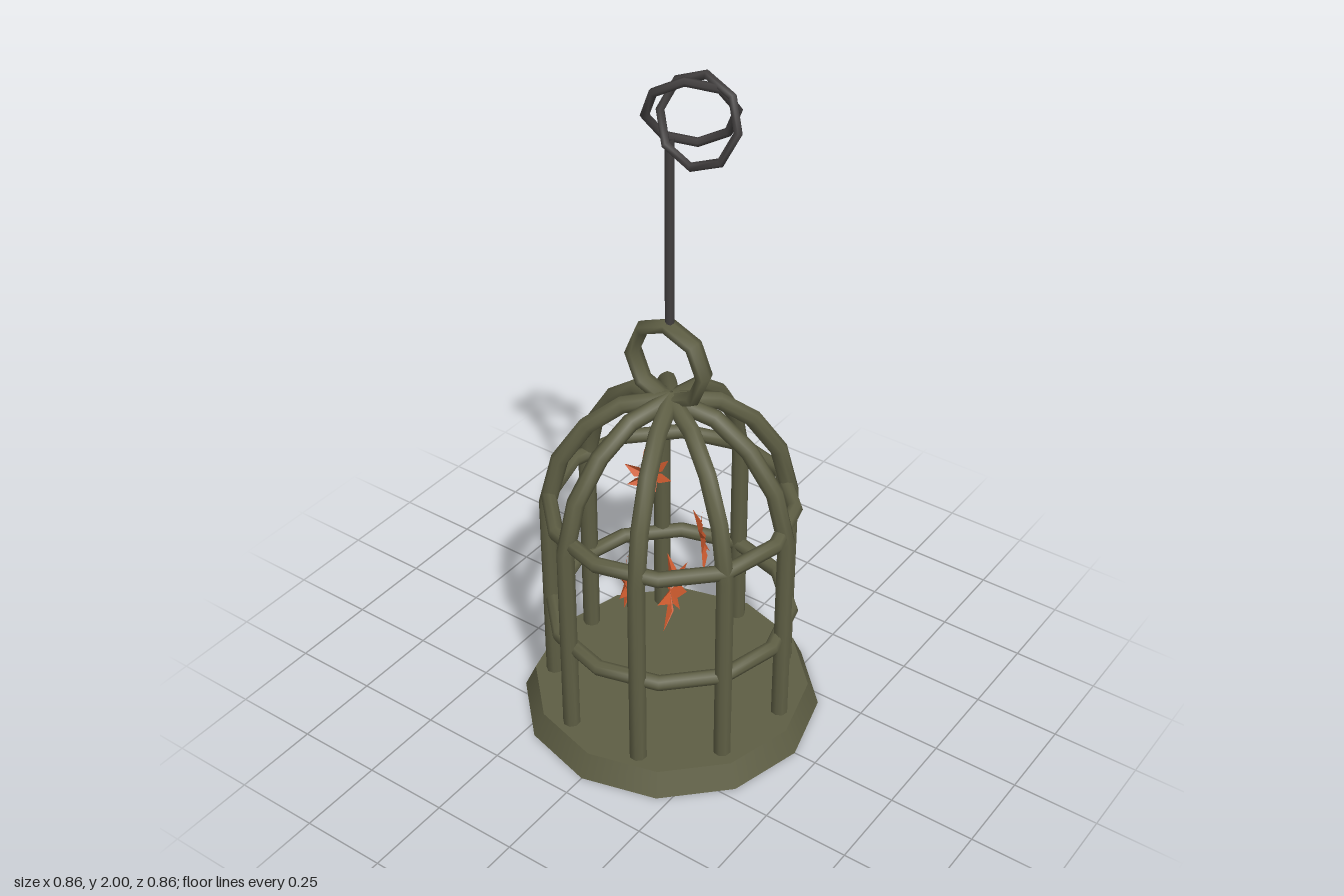
import * as THREE from 'three';

const olive = new THREE.MeshStandardMaterial({ color: 0x5e5e44 });
olive.name = 'olive metal';
const iron = new THREE.MeshStandardMaterial({ color: 0x423f3f });
iron.name = 'dark iron';
const orange = new THREE.MeshStandardMaterial({ color: 0xcc5a2e, side: THREE.DoubleSide });
orange.name = 'autumn orange';

function add(parent, name, geometry, material, x = 0, y = 0, z = 0) {
  const mesh = new THREE.Mesh(geometry, material);
  mesh.name = name;
  mesh.position.set(x, y, z);
  parent.add(mesh);
  return mesh;
}

// Straight-segmented path through a few points, so bars keep their low-poly bends
function polyline(points) {
  const path = new THREE.CurvePath();
  for (let i = 1; i < points.length; i++) path.add(new THREE.LineCurve3(points[i - 1], points[i]));
  return path;
}

// Tube of hexagonal cross-section with one ring of vertices per profile point
function barGeometry(profile, radius, sides) {
  const pos = [], index = [];
  profile.forEach(([r, y], i) => {
    const a = profile[Math.max(i - 1, 0)], b = profile[Math.min(i + 1, profile.length - 1)];
    const t = new THREE.Vector2(b[0] - a[0], b[1] - a[1]).normalize();
    for (let j = 0; j < sides; j++) {
      const u = (j / sides) * Math.PI * 2;
      const out = Math.cos(u) * radius, side = Math.sin(u) * radius;
      pos.push(side, y - t.x * out, r + t.y * out);
      if (i > 0) {
        const k = (j + 1) % sides, p = (i - 1) * sides, q = i * sides;
        index.push(p + j, p + k, q + j, p + k, q + k, q + j);
      }
    }
  });
  const g = new THREE.BufferGeometry();
  g.setAttribute('position', new THREE.Float32BufferAttribute(pos, 3));
  g.setIndex(index);
  g.computeVertexNormals();
  return g;
}

// Leaf: pointed lobes around a centre, each folded along its midrib, plus a stem
function leafGeometry(size) {
  const lobes = [[90, 1], [38, 0.95], [142, 0.95], [-18, 0.8], [198, 0.8], [-75, 0.6], [262, 1.15]];
  const pos = [];
  lobes.forEach(([deg, len], i) => {
    const a = THREE.MathUtils.degToRad(deg), L = len * size;
    const w = (i === 6 ? 0.08 : 0.2) * size;
    const at = (along, across, h) => [
      Math.cos(a) * along - Math.sin(a) * across,
      Math.sin(a) * along + Math.cos(a) * across, h];
    const tip = at(L, 0, (i % 2 ? 0.25 : -0.1) * size);
    const left = at(L * 0.5, w, 0.12 * size), right = at(L * 0.5, -w, 0.12 * size);
    pos.push(0, 0, 0, ...right, ...tip, 0, 0, 0, ...tip, ...left);
  });
  const g = new THREE.BufferGeometry();
  g.setAttribute('position', new THREE.Float32BufferAttribute(pos, 3));
  g.computeVertexNormals();
  return g;
}

export function createModel() {
  const model = new THREE.Group();
  model.name = 'hangingCage';

  // Twelve-sided base plate
  add(model, 'base', new THREE.CylinderGeometry(0.4, 0.432, 0.07, 12), olive, 0, 0.035, 0);

  // Nine ribs curving in to the crown
  const ribs = new THREE.Group();
  ribs.name = 'ribs';
  model.add(ribs);
  const profile = [[0.343, 0.05], [0.343, 0.68], [0.305, 0.83], [0.228, 0.945], [0.13, 1.02], [0, 1.045]];
  const ribGeo = barGeometry(profile, 0.025, 8);
  for (let i = 0; i < 9; i++) {
    add(ribs, 'rib', ribGeo, olive).rotation.y = Math.PI + (i / 9) * Math.PI * 2;
  }

  // Two horizontal hoops
  for (const y of [0.345, 0.705]) {
    add(model, 'hoop', new THREE.TorusGeometry(0.34, 0.022, 8, 12), olive, 0, y, 0).rotation.x = Math.PI / 2;
  }

  // Carrying ring on the crown
  const crown = add(model, 'crownRing', new THREE.TorusGeometry(0.115, 0.02, 6, 8), olive, -0.01, 1.155, 0);
  crown.scale.z = 1.45;

  // Hanging rod
  const rod = polyline([new THREE.Vector3(-0.005, 1.25, 0), new THREE.Vector3(-0.005, 1.81, 0)]);
  add(model, 'rod', new THREE.TubeGeometry(rod, 1, 0.0125, 8), iron);

  // Two linked chain rings above the rod
  const link = new THREE.TorusGeometry(0.114, 0.012, 6, 8);
  add(model, 'chainLink', link, iron, 0.083, 1.882, 0.003).rotation.x = -0.29;
  const tilted = add(model, 'chainLink', link, iron, 0.045, 1.885, -0.02);
  tilted.quaternion.setFromUnitVectors(
    new THREE.Vector3(0, 0, 1), new THREE.Vector3(0.48, -0.42, 0.77).normalize());

  // Leaves drifting inside: position, facing direction, size, roll
  const leaves = [
    [[-0.03, 0.82, 0.065], [1, 0.15, 1], 0.078, 0.1],
    [[-0.045, 0.5, 0.16], [1, 0.2, -0.7], 0.085, 0.5],
    [[0.01, 0.5, -0.13], [1, 0.15, -1], 0.09, -0.3],
    [[-0.09, 0.27, -0.12], [1, 0.1, -0.35], 0.11, -0.4],
  ];
  for (const [p, n, size, roll] of leaves) {
    const leaf = add(model, 'leaf', leafGeometry(size), orange, ...p);
    leaf.lookAt(p[0] + n[0], p[1] + n[1], p[2] + n[2]);
    leaf.rotateZ(roll);
  }
  return model;
}
